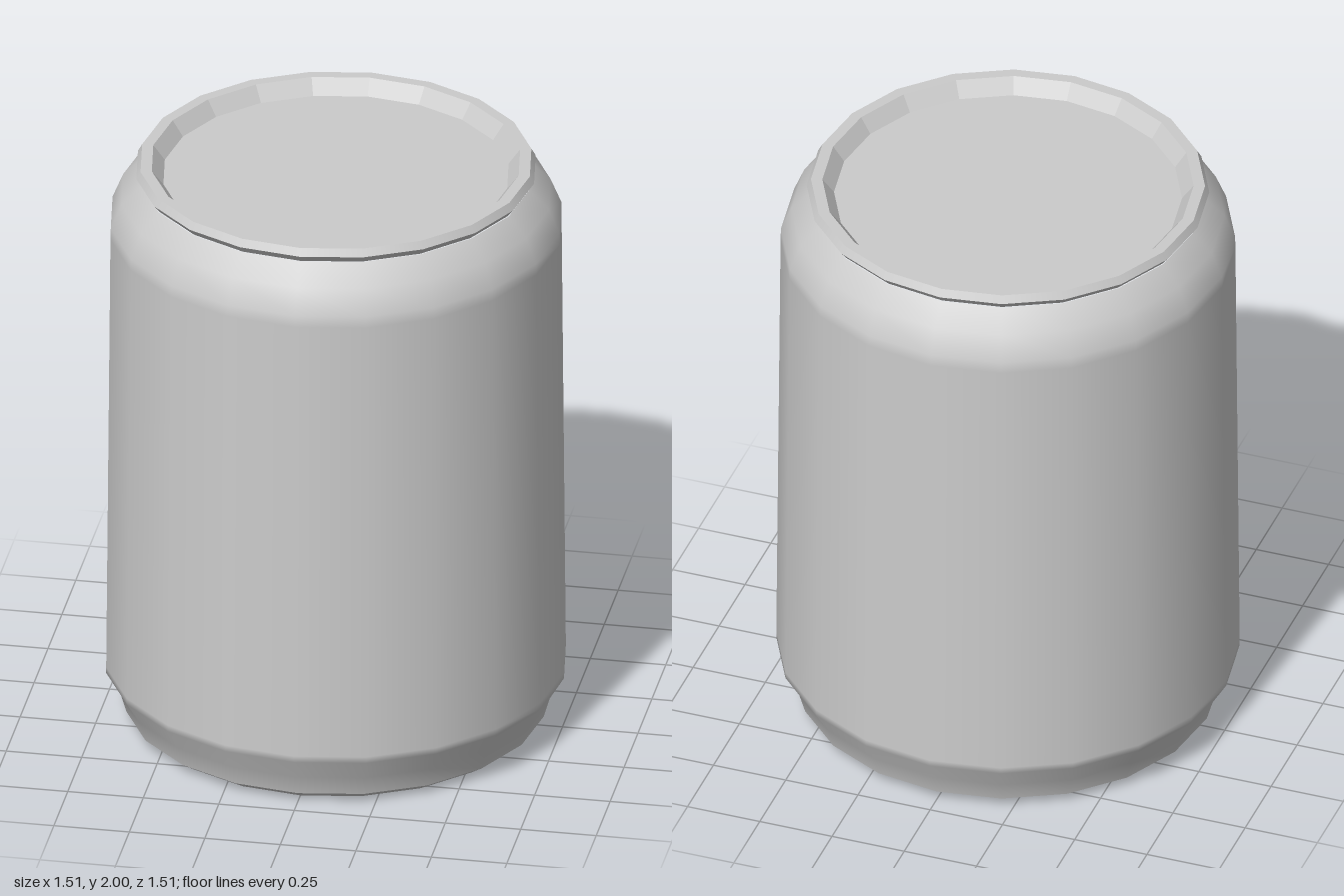
import * as THREE from 'three';

const SIDES = 20;
const smooth = new THREE.MeshStandardMaterial({ color: 0xcccccc });
const faceted = new THREE.MeshStandardMaterial({ color: 0xcccccc, flatShading: true });

// Revolves a profile of [radius, height] pairs; run upwards on the outside
function turn(name, profile, material = smooth) {
  const points = profile.map(([r, y]) => new THREE.Vector2(r, y));
  const mesh = new THREE.Mesh(new THREE.LatheGeometry(points, SIDES), material);
  mesh.name = name;
  return mesh;
}

export function createModel() {
  const can = new THREE.Group();
  can.name = 'drinkCan';

  can.add(
    // Recessed underside
    turn('base', [[0, 0.055], [0.49, 0.055], [0.64, 0]], faceted),
    // Narrow chamfer around the foot
    turn('footBevel', [[0.64, 0], [0.688, 0.032]]),
    // Slightly tapering wall with its lower curve and upper shoulder
    turn('body', [
      [0.688, 0.032], [0.708, 0.1], [0.755, 0.178], [0.755, 0.2],
      [0.741, 1.76], [0.74, 1.8], [0.705, 1.885], [0.64, 1.95],
    ]),
    // Rolled rim: lower flare, upper flare, flat top
    turn('rimUnderside', [[0.636, 1.95], [0.656, 1.975]]),
    turn('rimEdge', [[0.656, 1.975], [0.642, 2]]),
    turn('rimTop', [[0.642, 2], [0.605, 2]]),
    // Sunken lid with a sloping wall
    turn('lid', [[0.605, 2], [0.567, 1.95], [0, 1.95]], faceted),
  );
  return can;
}
